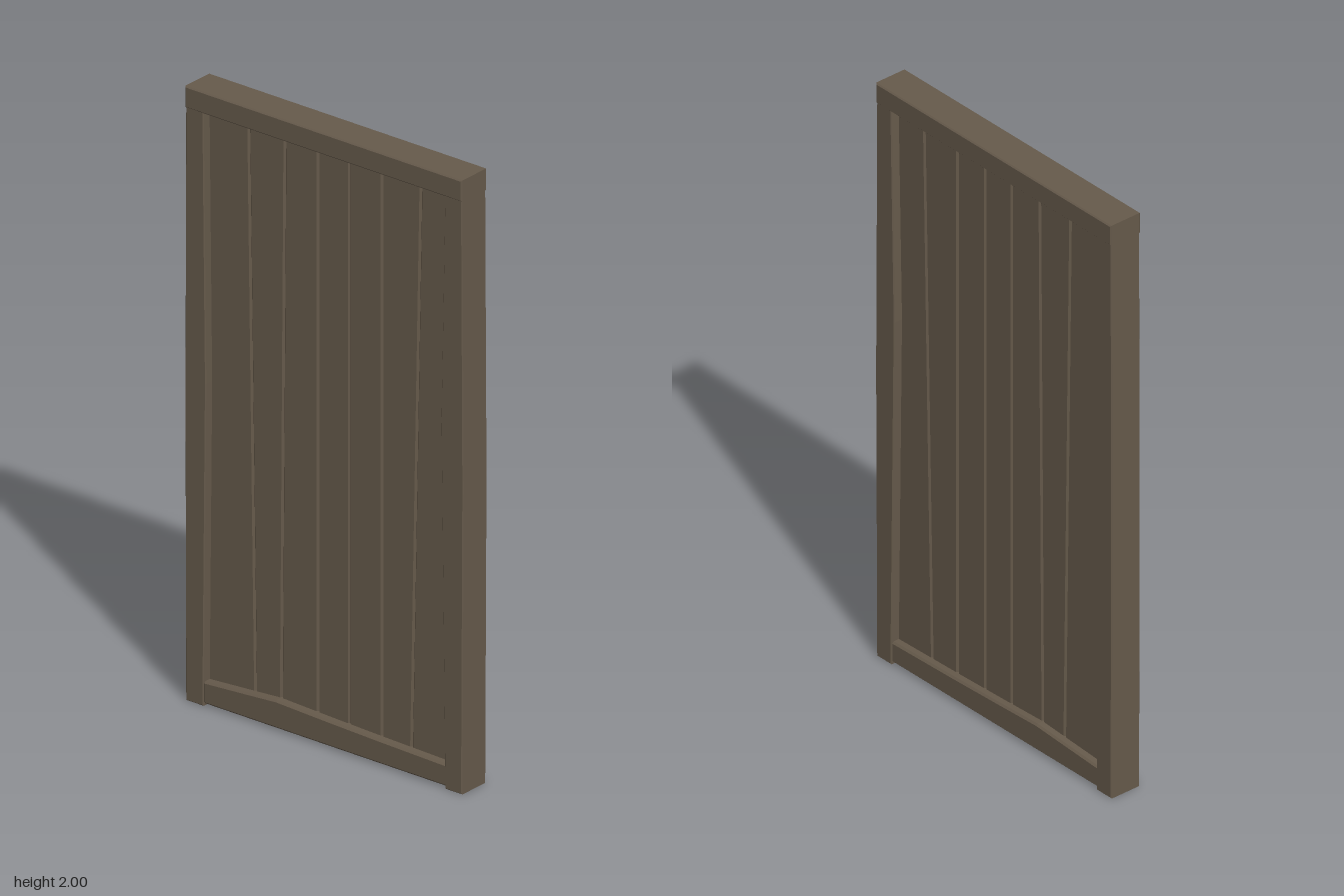
import * as THREE from 'three';

const wood = new THREE.MeshStandardMaterial({ color: 0x665a4b });
wood.name = 'weathered wood';

// A board cut to an outline, centred on z = 0, with chamfered edges on both faces
function board(name, outline, depth, chamfer) {
  const shape = new THREE.Shape(outline.map(([x, y]) => new THREE.Vector2(x, y)));
  const geometry = new THREE.ExtrudeGeometry(shape, {
    depth: depth - 2 * chamfer,
    bevelEnabled: true,
    bevelThickness: chamfer,
    bevelSize: chamfer,
    bevelOffset: -chamfer,
    bevelSegments: 1,
  });
  geometry.translate(0, 0, chamfer - depth / 2);
  const mesh = new THREE.Mesh(geometry, wood);
  mesh.name = name;
  return mesh;
}

export function createModel() {
  const door = new THREE.Group();
  door.name = 'door';

  // Frame: slightly bowed posts, with a lintel resting on top
  door.add(board('leftPost', [[0.46, 0], [0.525, 0], [0.53, 1], [0.525, 1.935], [0.46, 1.935], [0.445, 1.2]], 0.112, 0.003));
  door.add(board('rightPost', [[-0.532, 0], [-0.465, 0], [-0.455, 1.05], [-0.465, 1.935], [-0.532, 1.935], [-0.535, 1]], 0.112, 0.003));
  door.add(board('lintel', [[-0.533, 1.93], [0.527, 1.93], [0.527, 2], [-0.533, 2]], 0.118, 0.004));

  // Bottom rail with an uneven upper edge
  door.add(board('bottomRail', [[-0.47, 0.006], [0.465, 0.006], [0.465, 0.078], [0.2, 0.084],
    [0, 0.09], [-0.19, 0.097], [-0.29, 0.09], [-0.47, 0.078]], 0.104, 0.006));

  // Recessed planks: seam positions along the bottom and the top
  const planks = new THREE.Group();
  planks.name = 'planks';
  const bottom = [-0.49, -0.288, -0.19, -0.05, 0.07, 0.195, 0.308, 0.49];
  const top = [-0.49, -0.315, -0.176, -0.05, 0.07, 0.195, 0.345, 0.49];
  for (let i = 0; i < 7; i++) {
    const outline = [[bottom[i], 0.05], [bottom[i + 1], 0.05], [top[i + 1], 1.95], [top[i], 1.95]];
    planks.add(board('plank' + (i + 1), outline, 0.052, 0.006));
  }
  door.add(planks);

  return door;
}
